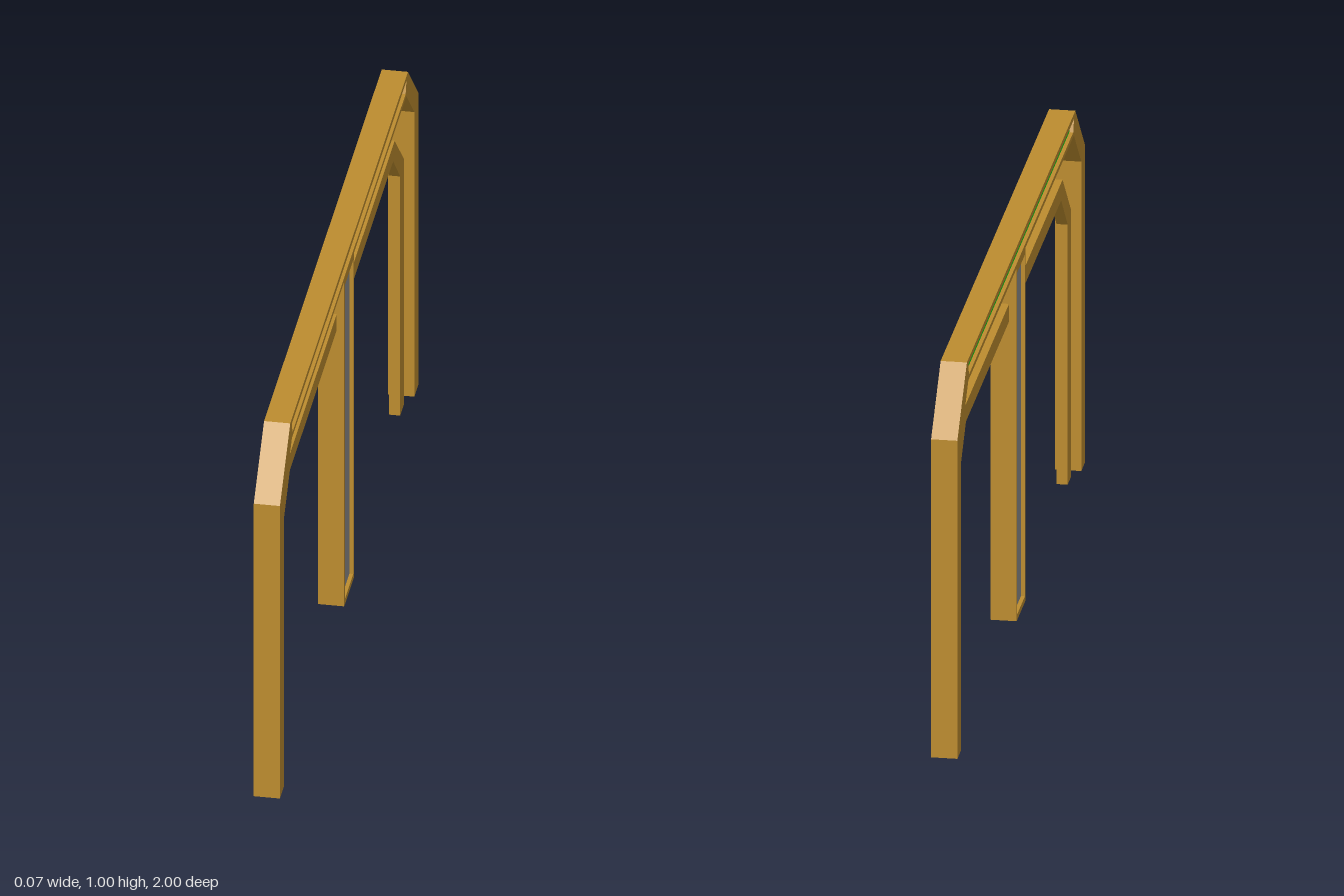
import * as THREE from 'three';

const material = (name, color) => {
  const m = new THREE.MeshStandardMaterial({ color, side: THREE.DoubleSide });
  m.name = name;
  return m;
};

// Flat strip of quads across x from x0 to x1 along a closed [z, y] outline; the floor side stays open
function walls(points, x0, x1) {
  const pos = [];
  points.forEach((a, i) => {
    const b = points[(i + 1) % points.length];
    if (a[1] === 0 && b[1] === 0) return;
    const [p, q, r, s] = [[x0, a], [x1, a], [x1, b], [x0, b]].map(([x, c]) => [x, c[1], c[0]]);
    pos.push(...p, ...q, ...r, ...p, ...r, ...s);
  });
  const g = new THREE.BufferGeometry();
  g.setAttribute('position', new THREE.Float32BufferAttribute(pos, 3));
  g.computeVertexNormals();
  return g;
}

// Flat [z, y] outline facing -x
function plate(points, x, hole) {
  const vectors = (list) => list.map(([z, y]) => new THREE.Vector2(z, y));
  const shape = new THREE.Shape(vectors(points));
  if (hole) shape.holes.push(new THREE.Path(vectors(hole)));
  return new THREE.ShapeGeometry(shape).rotateY(-Math.PI / 2).translate(x, 0, 0);
}

// Hollow beam symmetric in z, optionally with a recessed coloured panel on both sides
function beam(name, outline, half, mat, panel) {
  const group = new THREE.Group();
  group.name = name;
  const add = (part, geometry, m, turn = 0) => {
    const mesh = new THREE.Mesh(geometry, m);
    mesh.name = part;
    mesh.rotation.y = turn;
    group.add(mesh);
  };
  add(name + 'Edges', walls(outline, -half, half), mat);
  for (const turn of [0, Math.PI]) {
    add(name + 'Side', plate(outline, -half, panel?.outline), mat, turn);
    if (panel) {
      const inner = -half + panel.depth;
      add(panel.name + 'Rim', walls([...panel.outline].reverse(), -half, inner), mat, turn);
      add(panel.name, plate(panel.outline, inner), panel.mat, turn);
    }
  }
  return group;
}

// Counter-clockwise outline made from its +z half, listed bottom to top
const mirrored = (half) => [...half, ...[...half].reverse().map(([z, y]) => [-z, y])];

// Arch: outer edge from +z to -z, then inner edge back
const arch = (outer, inner) => [...mirrored(outer), ...mirrored(inner).reverse()];

export function createModel() {
  const gold = material('gold', 0xbc8c2f);
  const green = material('green', 0x08d81a);
  const grey = material('grey', 0x8e8e8e);
  const model = new THREE.Group();
  model.name = 'gateFrame';

  // Large chamfered arch with a green light strip in the top beam
  model.add(beam('outerArch', arch(
    [[1, 0], [1, 0.85], [0.85, 1]],
    [[0.943, 0], [0.943, 0.827], [0.827, 0.943]],
  ), 0.033, gold, {
    name: 'lightStrip', mat: green, depth: 0.01,
    outline: mirrored([[0.817, 0.955], [0.829, 0.986]]),
  }));

  // Slimmer arch nested inside
  model.add(beam('innerArch', arch(
    [[0.9, 0], [0.9, 0.715], [0.768, 0.847]],
    [[0.848, 0], [0.848, 0.695], [0.746, 0.8]],
  ), 0.014, gold));

  // Centre post with a grey inset panel
  model.add(beam('centrePost', mirrored([[0.071, 0], [0.071, 0.943]]), 0.033, gold, {
    name: 'postPanel', mat: grey, depth: 0.01,
    outline: mirrored([[0.061, 0.015], [0.061, 0.928]]),
  }));

  return model;
}
